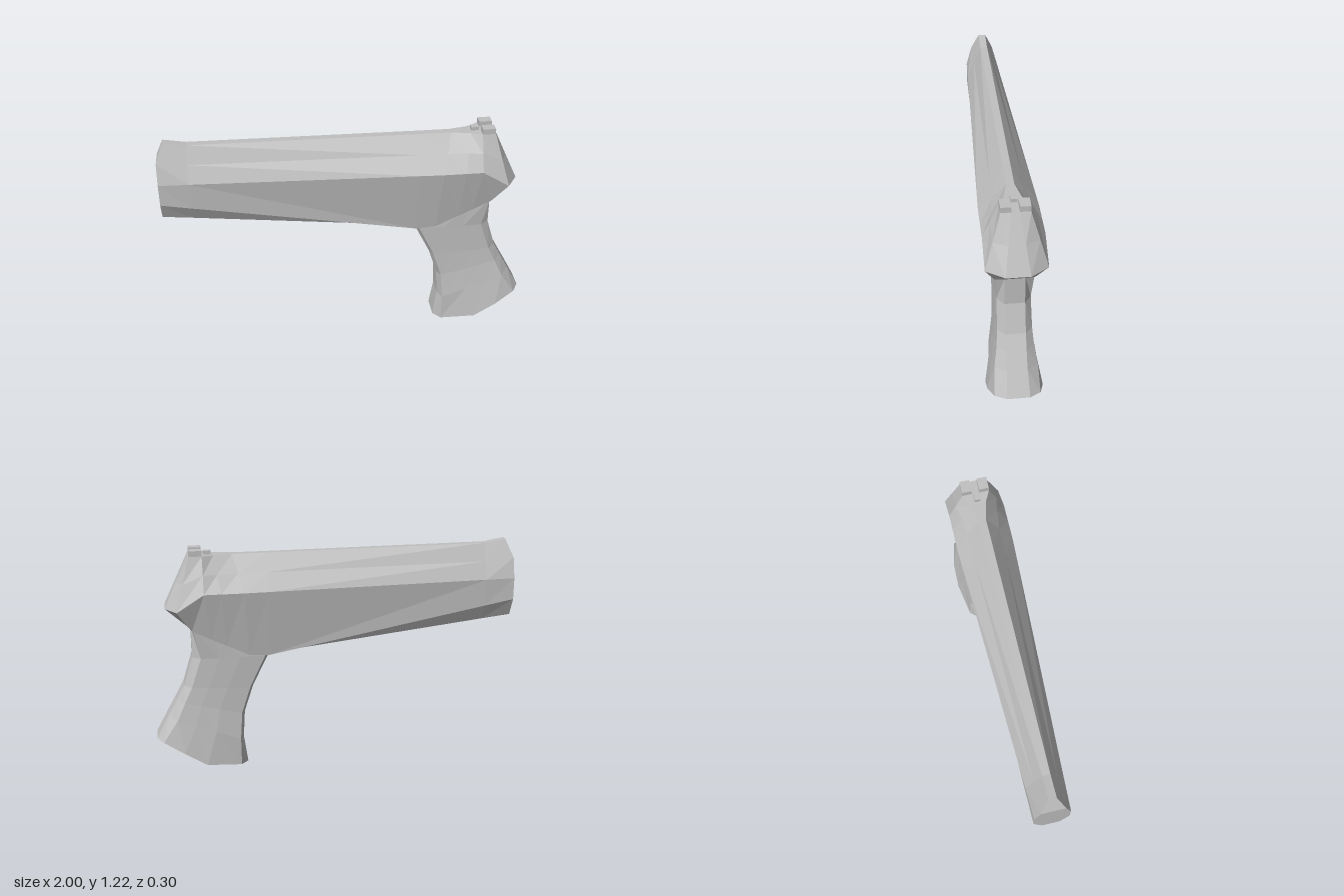
import * as THREE from 'three';

// Mirror a half section (points on +z) into a closed ring
const ring = (half) => [...half, ...half.slice().reverse().map(([x, y, z]) => [x, y, -z])];

// Faceted skin through a row of rings, closed at both ends
function loft(halves) {
  const rings = halves.map(ring);
  const n = rings[0].length, pos = [];
  const tri = (a, b, c) => pos.push(...a, ...b, ...c);
  for (let i = 0; i < rings.length - 1; i++) {
    for (let j = 0; j < n; j++) {
      const k = (j + 1) % n;
      const a = rings[i][j], b = rings[i][k], c = rings[i + 1][k], d = rings[i + 1][j];
      // mirror the diagonal so both sides match
      if (j < n / 2) { tri(a, b, c); tri(a, c, d); }
      else { tri(a, b, d); tri(b, c, d); }
    }
  }
  const cap = (r, flip) => {
    const h = n / 2;
    for (let j = 0; j < h - 1; j++) {
      const a = r[j], b = r[j + 1], c = r[n - 2 - j], d = r[n - 1 - j];
      if (flip) { tri(a, c, b); tri(a, d, c); } else { tri(a, b, c); tri(a, c, d); }
    }
  };
  cap(rings[0], true);
  cap(rings[rings.length - 1], false);
  const g = new THREE.BufferGeometry();
  g.setAttribute('position', new THREE.Float32BufferAttribute(pos, 3));
  g.computeVertexNormals();
  return g;
}

// Body section: top strip, upper flank, shoulder, lower side, belly
function bodySection(top, shoulder, lower, belly) {
  const upper = top.map((v, i) => v + (shoulder[i] - v) * 0.5);
  return [top, upper, shoulder, lower, belly];
}

// Grip section between a front and a back point, with bevelled edges
function gripSection([fx, fy], [bx, by], w) {
  return [[0, 0.05], [0.05, w * 0.92], [0.38, w], [0.65, w], [0.89, w * 0.95], [1, 0.052]]
    .map(([t, z]) => [fx + (bx - fx) * t, fy + (by - fy) * t, z]);
}

export function createModel() {
  const model = new THREE.Group();
  const grey = new THREE.MeshStandardMaterial({ color: 0xc0c0c0 });
  grey.name = 'plain grey';
  const add = (name, geometry, x = 0, y = 0, z = 0) => {
    const mesh = new THREE.Mesh(geometry, grey);
    mesh.name = name;
    mesh.position.set(x, y, z);
    model.add(mesh);
  };

  // Long tapering body, muzzle to rear
  add('body', loft([
    [[-0.96, 1.21, 0.02], [-1, 1.11, 0.062], [-1, 1, 0.092], [-1, 0.88, 0.092], [-1, 0.78, 0.045]],
    bodySection([-0.84, 1.19, 0.02], [-0.84, 1, 0.098], [-0.84, 0.851, 0.092], [-0.84, 0.763, 0.045]),
    bodySection([0.37, 1.183, 0.02], [0.37, 1, 0.147], [0.37, 0.632, 0.09], [0.37, 0.63, 0.05]),
    bodySection([0.55, 1.183, 0.02], [0.5, 1, 0.152], [0.48, 0.64, 0.091], [0.48, 0.64, 0.05]),
    bodySection([0.65, 1.183, 0.042], [0.62, 1, 0.152], [0.6, 0.7, 0.095], [0.6, 0.7, 0.05]),
    bodySection([0.71, 1.187, 0.072], [0.71, 1, 0.152], [0.68, 0.74, 0.098], [0.68, 0.74, 0.05]),
    bodySection([0.78, 1.187, 0.072], [0.855, 0.91, 0.152], [0.78, 0.79, 0.1], [0.77, 0.79, 0.05]),
    bodySection([0.785, 1.187, 0.022], [0.915, 0.91, 0.06], [0.785, 0.79, 0.052], [0.78, 0.79, 0.05]),
  ]));

  // Curved grip with flared foot, foot to neck
  add('grip', loft([
    [[0.5, 0, 0.06], [0.54, 0.003, 0.11], [0.73, 0.03, 0.145],
      [0.85, 0.105, 0.145], [0.96, 0.168, 0.117], [0.995, 0.175, 0.06]],
    gripSection([0.52, 0.15], [0.925, 0.305], 0.117),
    gripSection([0.51, 0.3], [0.875, 0.395], 0.1),
    gripSection([0.46, 0.45], [0.835, 0.47], 0.093),
    gripSection([0.37, 0.63], [0.785, 0.63], 0.09),
    [[0.42, 0.72, 0.04], [0.45, 0.73, 0.07], [0.56, 0.74, 0.085],
      [0.66, 0.76, 0.09], [0.775, 0.8, 0.097], [0.785, 0.8, 0.05]],
  ]));

  // Rear sight posts with a small notch block between
  for (const s of [1, -1]) {
    add(s > 0 ? 'leftRearSight' : 'rightRearSight',
      new THREE.BoxGeometry(0.068, 0.035, 0.052), 0.744, 1.199, s * 0.046);
  }
  add('sightNotch', new THREE.BoxGeometry(0.04, 0.02, 0.032), 0.68, 1.194, 0);

  return model;
}
